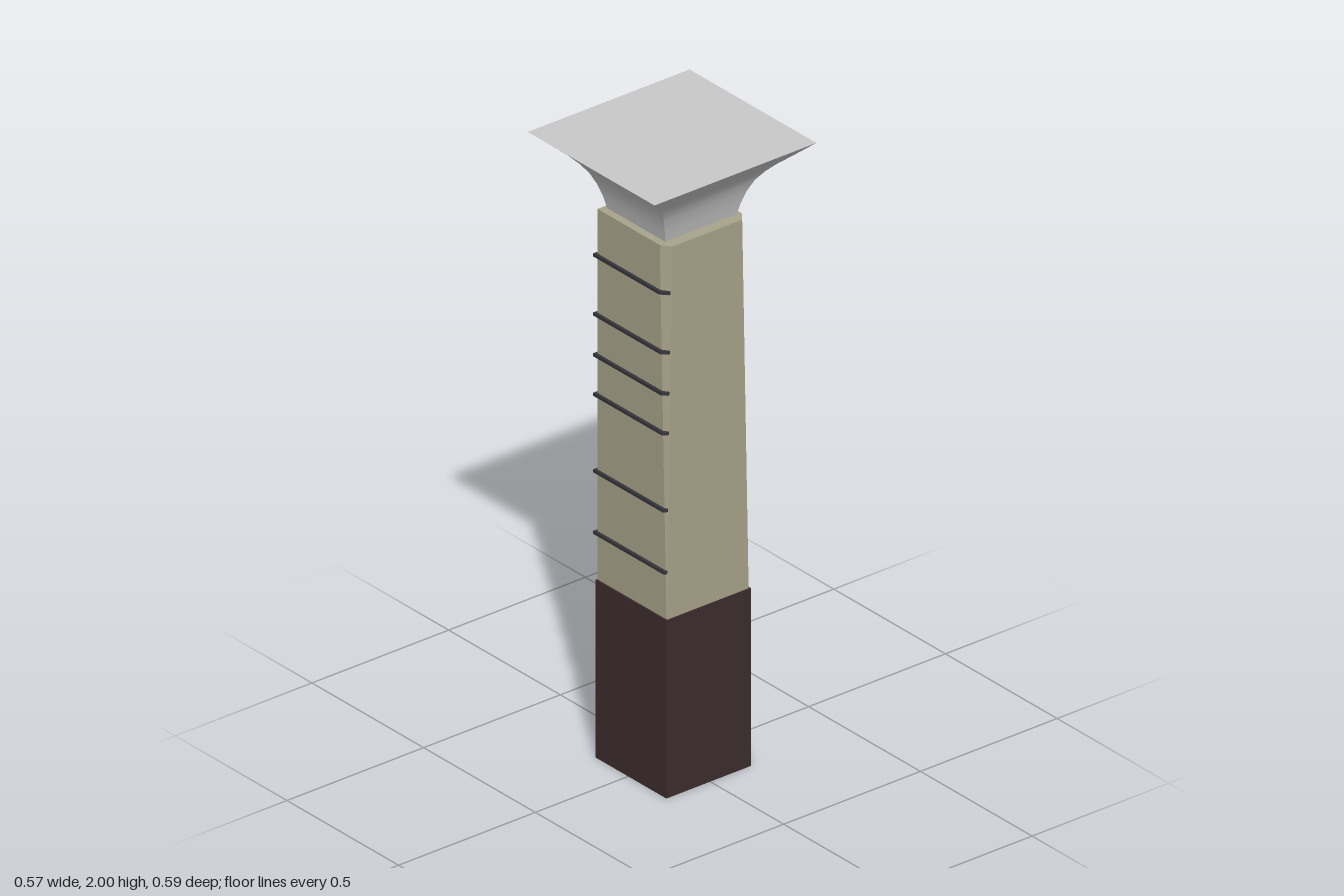
import * as THREE from 'three';

// Skins stacked convex cross-sections {y, pts: [[x, z], ...]}, listed counter-clockwise
// from above. Each side is its own strip: smooth along the height, sharp at corners.
function loft(sections) {
  const pos = [], index = [];
  const n = sections[0].pts.length;
  for (let i = 0; i < n; i++) {
    const start = pos.length / 3;
    for (const { y, pts } of sections) {
      const [a, b] = [pts[i], pts[(i + 1) % n]];
      pos.push(a[0], y, a[1], b[0], y, b[1]);
    }
    for (let s = 0; s < sections.length - 1; s++) {
      const k = start + s * 2;
      index.push(k, k + 1, k + 3, k, k + 3, k + 2);
    }
  }
  // end caps
  const cap = ({ y, pts }, up) => {
    const start = pos.length / 3;
    pts.forEach(([x, z]) => pos.push(x, y, z));
    for (let i = 1; i < n - 1; i++) {
      if (up) index.push(start, start + i, start + i + 1);
      else index.push(start, start + i + 1, start + i);
    }
  };
  cap(sections[0], false);
  cap(sections[sections.length - 1], true);
  const geo = new THREE.BufferGeometry();
  geo.setAttribute('position', new THREE.Float32BufferAttribute(pos, 3));
  geo.setIndex(index);
  geo.computeVertexNormals();
  return geo;
}

const rect = (x0, x1, z0, z1) => [[x0, z0], [x0, z1], [x1, z1], [x1, z0]];

export function createModel() {
  const material = (name, color) => {
    const m = new THREE.MeshStandardMaterial({ color });
    m.name = name;
    return m;
  };
  const dark = material('dark brown', 0x3d2c2e);
  const stone = material('beige stone', 0xa8a38b);
  const grey = material('light grey', 0xc8c8c8);
  const line = material('charcoal', 0x36363b);

  const group = new THREE.Group();
  group.name = 'pillar';
  const add = (name, geo, mat) => {
    const mesh = new THREE.Mesh(geo, mat);
    mesh.name = name;
    group.add(mesh);
  };

  // Plinth
  const baseTop = 0.572, shaftTop = 1.763;
  const basePts = rect(-0.146, 0.171, -0.149, 0.16);
  add('base', loft([{ y: 0, pts: basePts }, { y: baseTop, pts: basePts }]), dark);

  // Shaft: the two corners on the left side have chamfers that widen upwards
  const shaftSection = (y) => {
    const t = (y - baseTop) / (shaftTop - baseTop);
    const mix = (a, b) => a + (b - a) * t;
    const x = mix(0.168, 0.165), cx = mix(0.165, 0.135);
    const zf = 0.155, zb = -0.145;
    return [
      [-0.144, zb], [-0.144, zf], [cx, zf],
      [x, mix(0.153, 0.134)], [x, mix(-0.143, -0.122)], [cx, zb],
    ];
  };
  add('shaft', loft([baseTop, shaftTop].map((y) => ({ y, pts: shaftSection(y) }))), stone);

  // Thin bands across the front, the right side and the front chamfer
  for (const y of [0.723, 0.921, 1.167, 1.294, 1.425, 1.615]) {
    const s = shaftSection(y);
    const pts = [
      [-0.152, -0.1445], [-0.152, 0.164], [s[2][0] + 0.004, 0.164],
      [s[3][0] - 0.001, s[3][1] + 0.008], [0.1, -0.14],
    ];
    add('band', loft([{ y: y - 0.005, pts }, { y: y + 0.005, pts }]), line);
  }

  // Flared capital, square in plan: [y, half width in x, half depth in z]
  const profile = [
    [1.755, 0.128, 0.129], [1.80, 0.138, 0.139], [1.84, 0.15, 0.152],
    [1.875, 0.165, 0.168], [1.905, 0.186, 0.19], [1.93, 0.209, 0.214],
    [1.96, 0.242, 0.249], [2, 0.284, 0.296],
  ];
  add('capital', loft(profile.map(([y, w, d]) => ({ y, pts: rect(-w, w, -d, d) }))), grey);

  return group;
}
